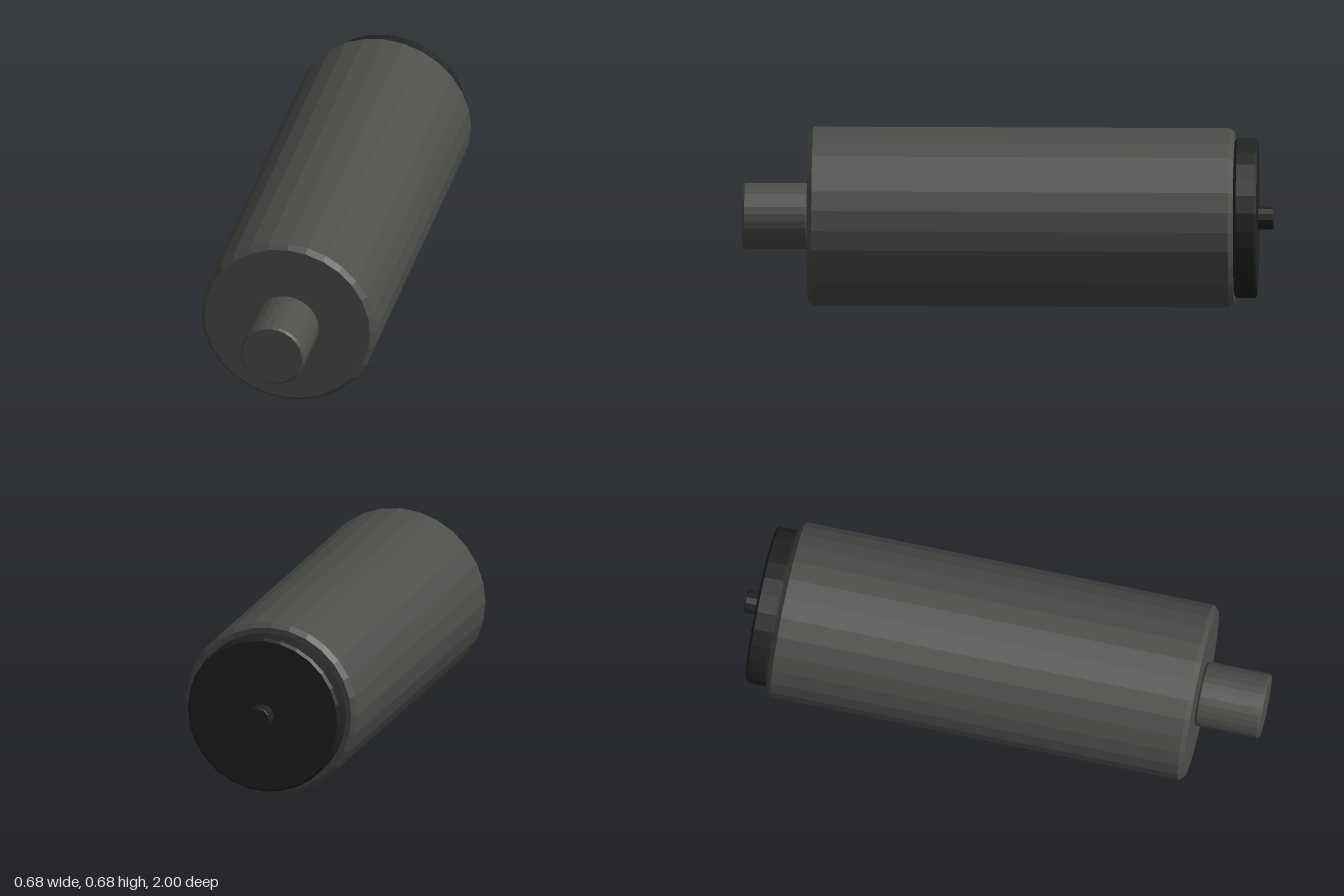
import * as THREE from 'three';

const AXIS_Y = 0.338;

// Chamfered solid cylinder lying along z, from z0 (back) to z1 (front)
function roller(name, radius, z0, z1, bevel, sides, material) {
  const profile = [
    [0, z0], [radius - bevel, z0], [radius, z0 + bevel],
    [radius, z1 - bevel], [radius - bevel, z1], [0, z1],
  ].map(([r, z]) => new THREE.Vector2(r, z));
  const geometry = new THREE.LatheGeometry(profile, sides);
  geometry.rotateX(Math.PI / 2);
  const mesh = new THREE.Mesh(geometry, material);
  mesh.name = name;
  mesh.position.y = AXIS_Y;
  return mesh;
}

export function createModel() {
  const metal = new THREE.MeshStandardMaterial({ color: 0x4c4e4a, flatShading: true });
  const dark = new THREE.MeshStandardMaterial({ color: 0x202321, flatShading: true });

  const group = new THREE.Group();
  group.name = 'cylinderUnit';
  group.add(
    roller('body', 0.338, -0.853, 0.752, 0.018, 28, metal),
    roller('frontShaft', 0.124, 0.752, 1, 0.008, 28, metal),
    roller('rearCap', 0.302, -0.94, -0.853, 0.01, 28, dark),
    roller('rearPin', 0.044, -1, -0.94, 0.002, 12, dark),
  );
  return group;
}
